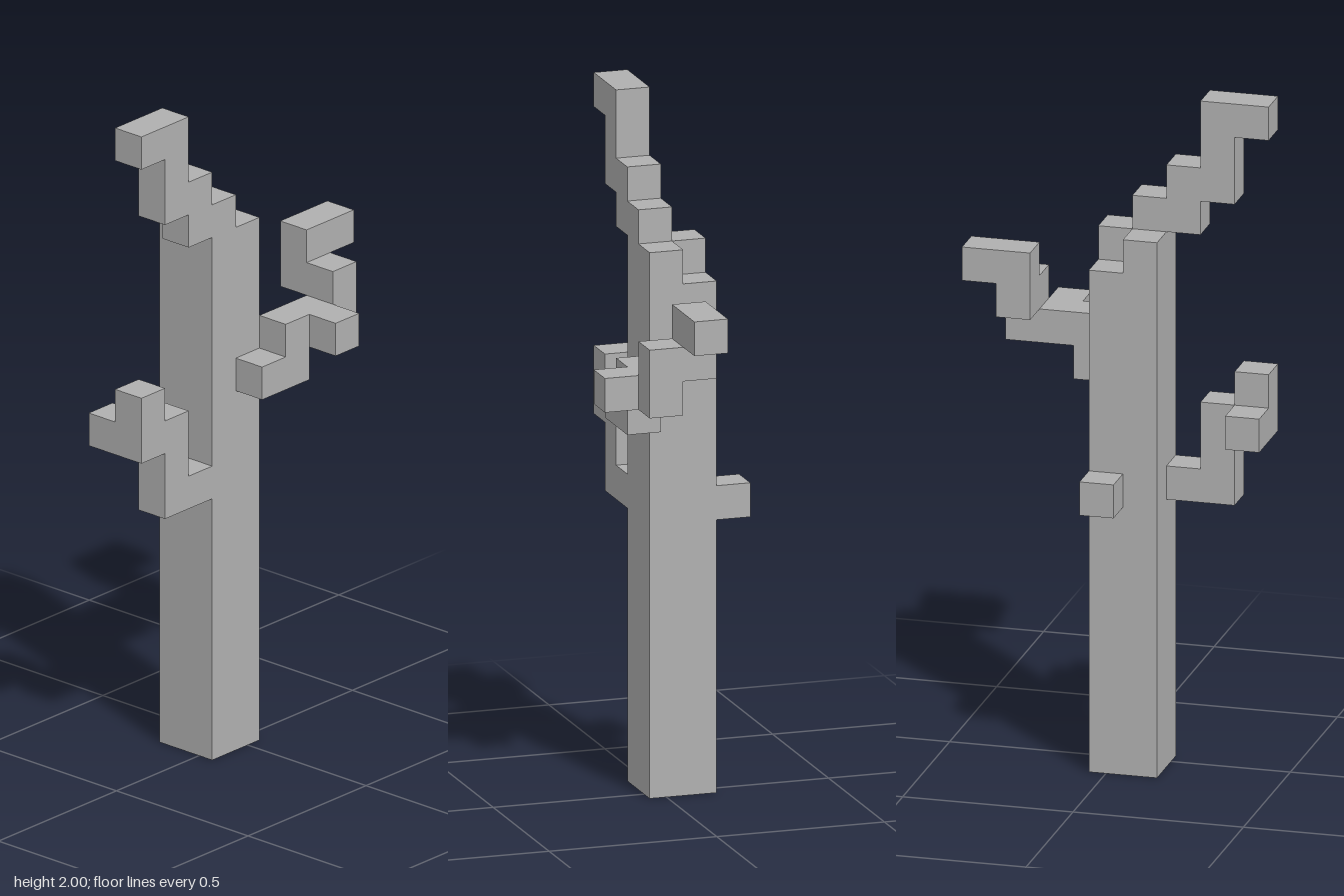
import * as THREE from 'three';

const bark = new THREE.MeshStandardMaterial({ color: 0xb0b0b0 });
bark.name = 'greyBark';

// Boxes are given in cells of 0.1: [x0, y0, z0, x1, y1, z1], offset by half a cell in x and z.
const CELL = 0.1;

const parts = {
  trunk: [
    [-1, 0, -1, 1, 15, 1],
    [-1, 15, -1, 0, 16, 1],
    [0, 15, 0, 1, 16, 1],
  ],
  // stepped branch rising from the top of the trunk
  topBranch: [
    [-1, 16, 0, 0, 17, 1],
    [-2, 16, 0, -1, 18, 1],
    [-3, 17, 0, -2, 20, 1],
    [-4, 19, 0, -3, 20, 1],
  ],
  // lower branch with a small twig at the back
  lowerBranch: [
    [-3, 8, 0, -1, 9, 1],
    [-3, 9, 0, -2, 11, 1],
    [-4, 10, 0, -3, 12, 1],
    [-4, 10, -1, -3, 11, 0],
  ],
  // branch winding from the front of the trunk out to the side
  sideBranch: [
    [0, 11, 1, 2, 12, 2],
    [1, 12, 1, 3, 13, 2],
    [2, 12, 2, 3, 13, 3],
    [3, 12, 1, 4, 14, 2],
    [3, 13, 0, 4, 15, 1],
    [4, 14, 0, 5, 15, 1],
  ],
  backTwig: [[0, 8, -2, 1, 9, -1]],
};

function block([x0, y0, z0, x1, y1, z1]) {
  const geometry = new THREE.BoxGeometry((x1 - x0) * CELL, (y1 - y0) * CELL, (z1 - z0) * CELL);
  const mesh = new THREE.Mesh(geometry, bark);
  mesh.position.set((x0 + x1 - 1) / 2, (y0 + y1) / 2, (z0 + z1 - 1) / 2).multiplyScalar(CELL);
  return mesh;
}

export function createModel() {
  const tree = new THREE.Group();
  tree.name = 'bareTree';
  for (const [name, boxes] of Object.entries(parts)) {
    const group = new THREE.Group();
    group.name = name;
    boxes.forEach((box, i) => {
      const mesh = block(box);
      mesh.name = `${name}Block${i + 1}`;
      group.add(mesh);
    });
    tree.add(group);
  }
  return tree;
}
